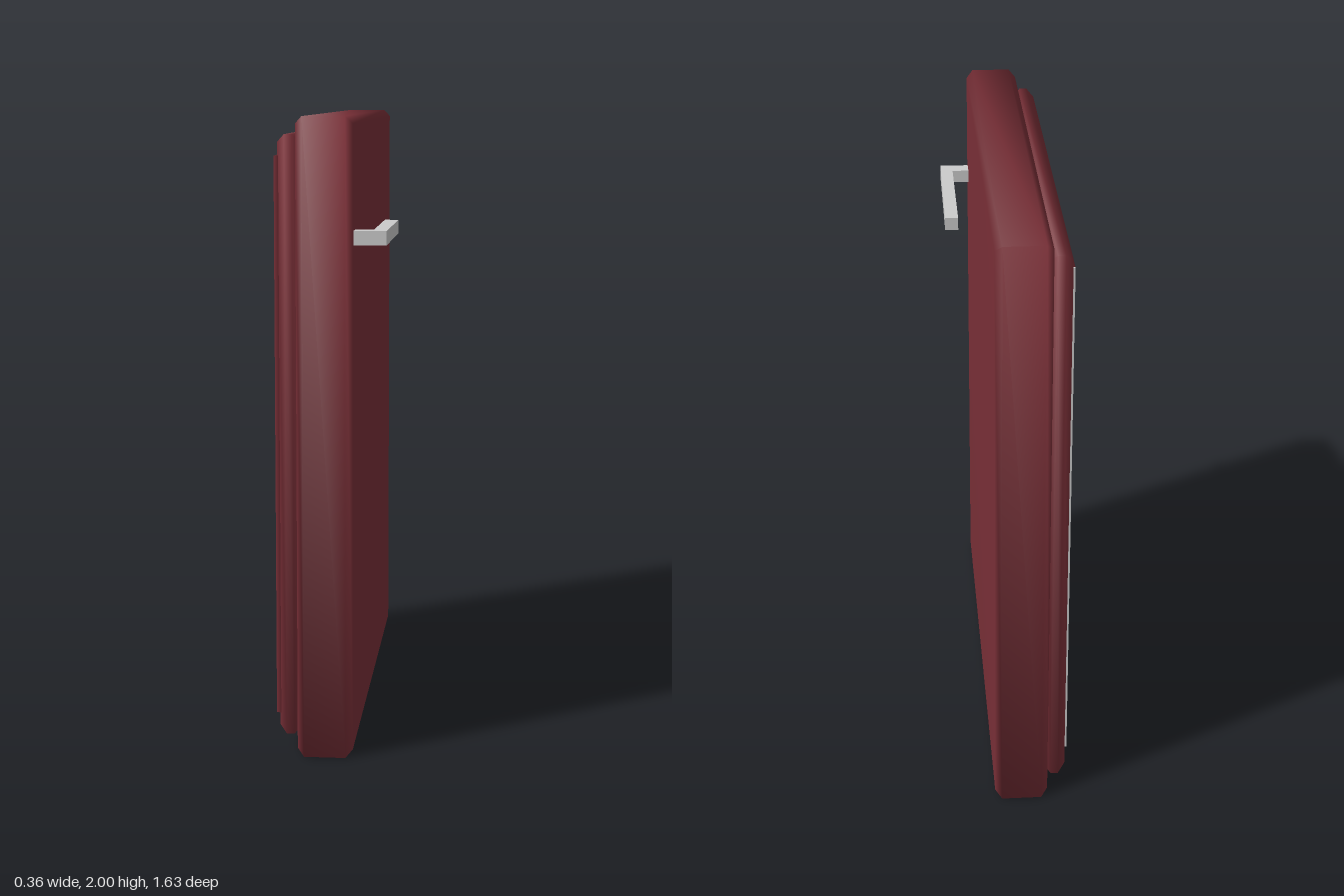
import * as THREE from 'three';

const red = new THREE.MeshStandardMaterial({ color: 0x7b3038 });
const grey = new THREE.MeshStandardMaterial({ color: 0xcccccc });

// Solid lofted along x through rectangles [x, yMin, yMax, zMin, zMax], with shared (smooth) normals
function loft(sections) {
  const pos = [], idx = [];
  for (const [x, y0, y1, z0, z1] of sections) {
    pos.push(x, y0, z0, x, y1, z0, x, y1, z1, x, y0, z1);
  }
  const last = (sections.length - 1) * 4;
  for (let s = 0; s < last; s += 4) {
    for (let i = 0; i < 4; i++) {
      const a = s + i, b = s + (i + 1) % 4;
      idx.push(a, b, b + 4, a, b + 4, a + 4);
    }
  }
  idx.push(0, 2, 1, 0, 3, 2, last, last + 1, last + 2, last, last + 2, last + 3);
  const g = new THREE.BufferGeometry();
  g.setAttribute('position', new THREE.Float32BufferAttribute(pos, 3));
  g.setIndex(idx);
  g.computeVertexNormals();
  return g;
}

// Slab from x0 to x1 with chamfered rims on both faces
function slab(x0, x1, y0, y1, hz, bevel) {
  const rect = (x, d) => [x, y0 + d, y1 - d, -hz + d, hz - d];
  return loft([rect(x0, bevel), rect(x0 + bevel, 0), rect(x1 - bevel, 0), rect(x1, bevel)]);
}

function add(parent, name, geometry, material) {
  const mesh = new THREE.Mesh(geometry, material);
  mesh.name = name;
  parent.add(mesh);
}

export function createModel() {
  const model = new THREE.Group();
  model.name = 'cabinetDoor';

  // Door body, turned very slightly about the vertical
  const door = new THREE.Group();
  door.name = 'door';
  door.rotation.y = 0.006;
  model.add(door);

  add(door, 'doorSlab', slab(-0.105, 0.07, 0, 2, 0.817, 0.022), red);
  add(door, 'innerStep', slab(-0.167, -0.095, 0.057, 1.945, 0.765, 0.024), red);

  // Thin inner panel with a bare edge strip on its back side
  add(door, 'innerPanel', loft([
    [-0.177, 0.12, 1.88, -0.698, 0.745],
    [-0.16, 0.12, 1.88, -0.698, 0.745],
  ]), red);
  const strip = new THREE.BoxGeometry(0.016, 1.76, 0.007);
  strip.translate(-0.169, 1, -0.7015);
  add(door, 'panelEdgeStrip', strip, grey);

  // L-shaped handle, outlined in plan (x, -z) and extruded upwards
  const outline = new THREE.Shape([
    [0.06, -0.77], [0.175, -0.77], [0.175, -0.26], [0.13, -0.26], [0.132, -0.714], [0.06, -0.714],
  ].map(([x, y]) => new THREE.Vector2(x, y)));
  const handle = new THREE.ExtrudeGeometry(outline, { depth: 0.044, bevelEnabled: false });
  handle.rotateX(-Math.PI / 2);
  handle.translate(0, 1.611, 0);
  add(model, 'handle', handle, grey);

  return model;
}
